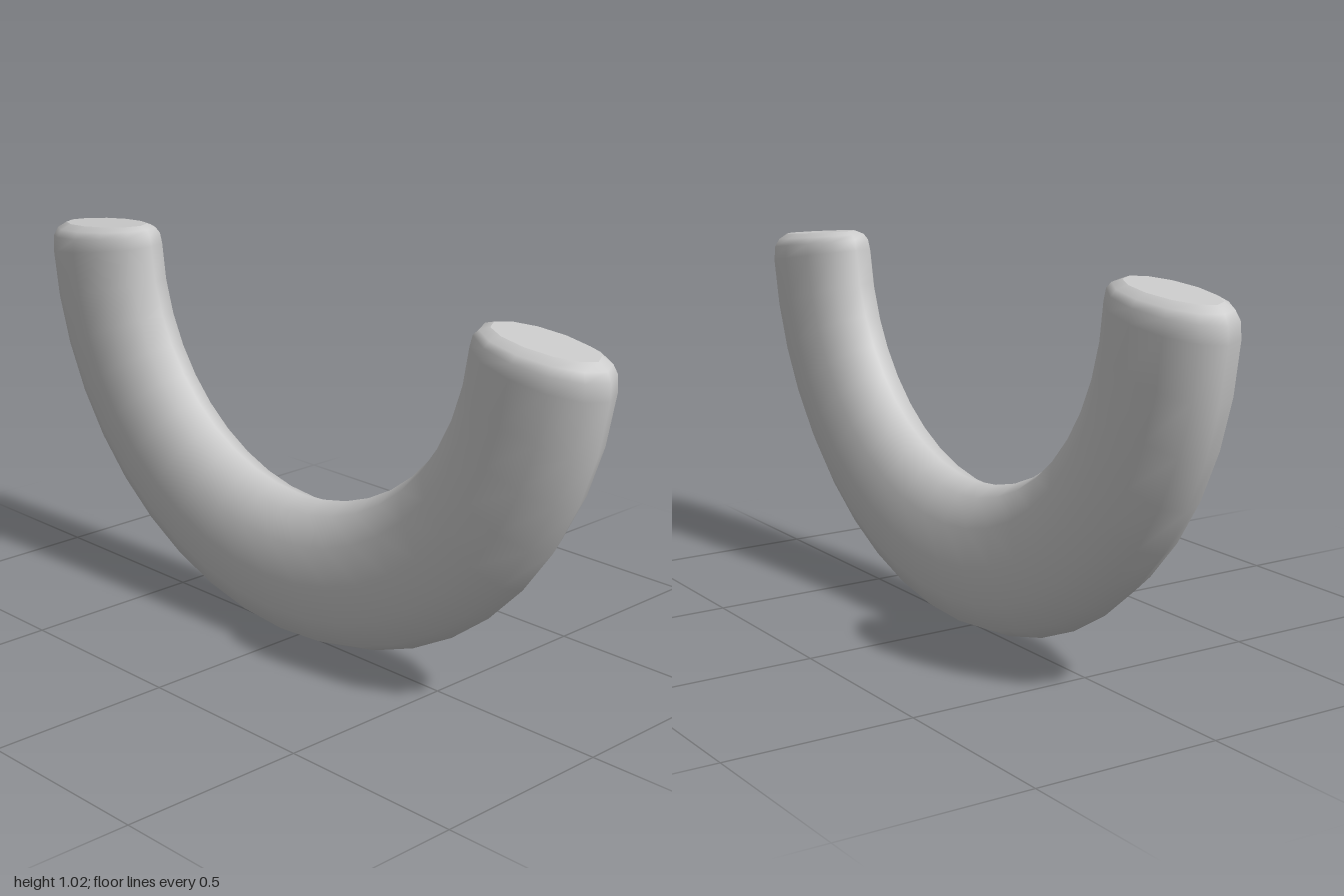
import * as THREE from 'three';

const SIDES = 12;        // sides of the oval cross-section
const R = 0.8;           // radius of the arc's centre line
const HALF_W = 0.2;      // half width in the plane of the arc
const HALF_D = 0.12;     // half depth along z
const START = -1.581, END = 1.54;

// One oval ring at angle t along the arc, shrunk by inset
function ring(t, inset) {
  const nearStart = Math.max(0, 1 - (t - START) / 0.35);
  const nearEnd = Math.max(0, 1 - (END - t) / 0.35);
  const s = t + 0.1 * nearStart - 0.08 * nearEnd; // ends lean slightly inward
  const cx = R * Math.sin(t), cy = 1 - R * Math.cos(t);
  const points = [];
  for (let j = 0; j < SIDES; j++) {
    const phi = (j / SIDES) * Math.PI * 2;
    const r = (HALF_W - inset) * Math.cos(phi);
    const x = cx + r * Math.sin(s);
    points.push(new THREE.Vector3(x, cy - r * Math.cos(s), (HALF_D - inset) * Math.sin(phi) - 0.008 * x));
  }
  return points;
}

function meshFrom(points, index, name, material) {
  const geometry = new THREE.BufferGeometry().setFromPoints(points);
  geometry.setIndex(index);
  geometry.computeVertexNormals();
  const mesh = new THREE.Mesh(geometry, material);
  mesh.name = name;
  return mesh;
}

// Flat oval closing one end
function endCap(points, flip, name, material) {
  const index = [];
  for (let j = 1; j < SIDES - 1; j++) index.push(0, flip ? j + 1 : j, flip ? j : j + 1);
  return meshFrom(points, index, name, material);
}

export function createModel() {
  const group = new THREE.Group();
  group.name = 'curvedTube';
  const material = new THREE.MeshStandardMaterial({ color: 0xcccccc });

  // Rings: rounded start, evenly spaced body, rounded end
  const bevel = [[0, 0.045], [0.016, 0.018], [0.04, 0.005], [0.085, 0]];
  const rings = bevel.map(([d, inset]) => ring(START + d, inset));
  const from = START + 0.085, to = END - 0.085, steps = 20;
  for (let i = 1; i < steps; i++) rings.push(ring(from + ((to - from) * i) / steps, 0));
  for (const [d, inset] of [...bevel].reverse()) rings.push(ring(END - d, inset));

  // Skin between the rings
  const index = [];
  for (let i = 0; i < rings.length - 1; i++) {
    for (let j = 0; j < SIDES; j++) {
      const k = (j + 1) % SIDES;
      const a = i * SIDES + j, b = a + SIDES, c = i * SIDES + k, d = c + SIDES;
      index.push(a, b, c, b, d, c);
    }
  }
  group.add(meshFrom(rings.flat(), index, 'tubeBody', material));
  group.add(endCap(rings[0], false, 'rightEndCap', material));
  group.add(endCap(rings[rings.length - 1], true, 'leftEndCap', material));
  return group;
}
